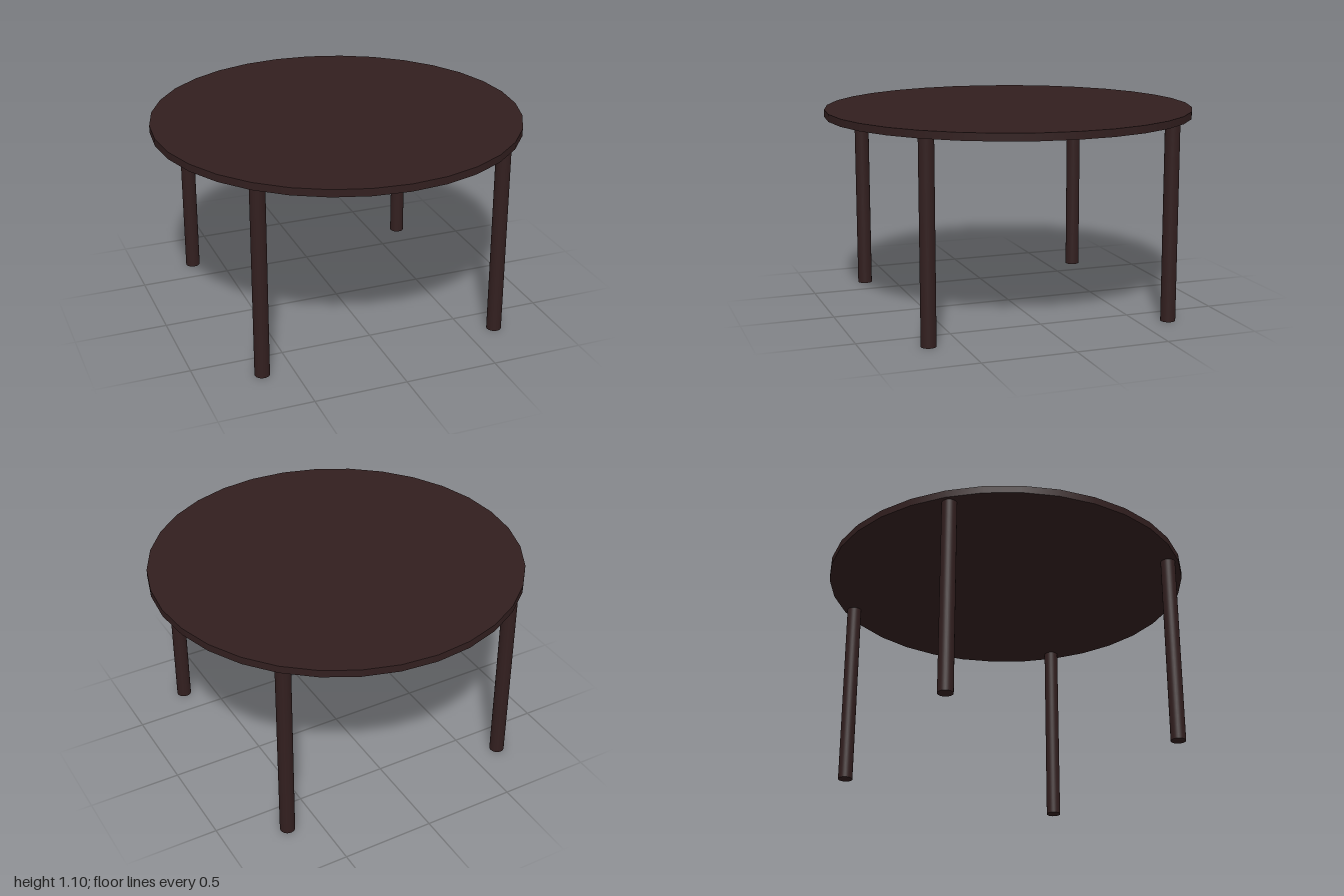
import * as THREE from 'three';

export function createModel() {
  const model = new THREE.Group();
  model.name = 'roundTable';
  const wood = new THREE.MeshStandardMaterial({ color: 0x321f1f });

  const legHeight = 1.06;
  const topThickness = 0.04;
  const legOffset = 0.665;

  // Round table top
  const top = new THREE.Mesh(new THREE.CylinderGeometry(1, 1, topThickness, 32), wood);
  top.name = 'tableTop';
  top.position.y = legHeight + topThickness / 2;
  model.add(top);

  // Four straight round legs
  const legGeometry = new THREE.CylinderGeometry(0.04, 0.04, legHeight, 32);
  for (const [xSide, x] of [['Left', 1], ['Right', -1]]) {
    for (const [zSide, z] of [['front', 1], ['back', -1]]) {
      const leg = new THREE.Mesh(legGeometry, wood);
      leg.name = `${zSide}${xSide}Leg`;
      leg.position.set(x * legOffset, legHeight / 2, z * legOffset);
      model.add(leg);
    }
  }
  return model;
}
